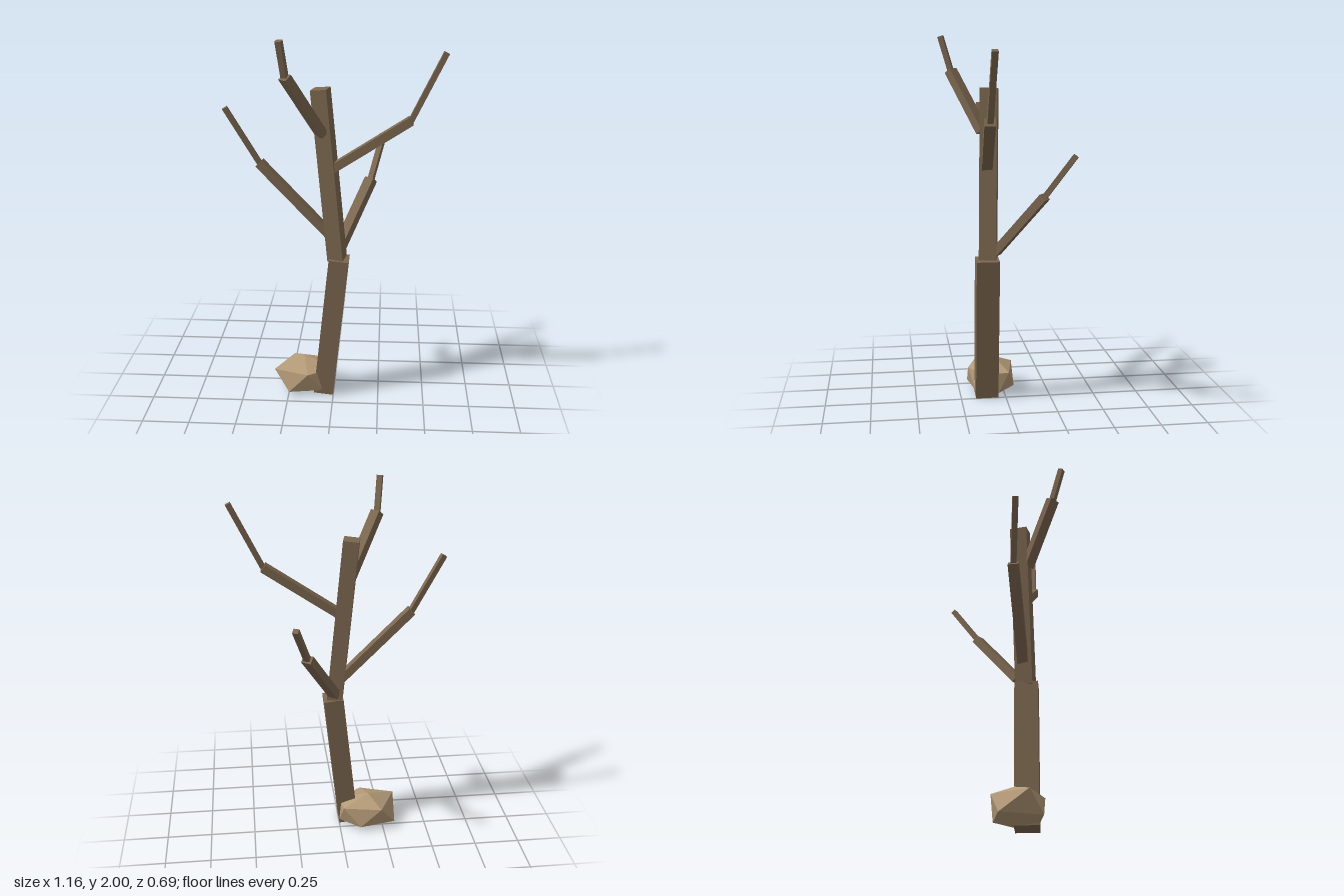
import * as THREE from 'three';
import { ConvexGeometry } from 'three/addons/geometries/ConvexGeometry.js';

const bark = new THREE.MeshStandardMaterial({ color: 0x7d6850, flatShading: true });
const stone = new THREE.MeshStandardMaterial({ color: 0xb59b78, flatShading: true });

// Square beam between two points; width runs along the side vector
function beam(name, from, to, width, depth, side) {
  const a = new THREE.Vector3(...from);
  const b = new THREE.Vector3(...to);
  const y = b.clone().sub(a).normalize();
  // By default the width lies level, across the direction of the beam
  const x = side ? new THREE.Vector3(...side) : new THREE.Vector3(y.z, 0, -y.x);
  x.addScaledVector(y, -x.dot(y)).normalize();
  const z = new THREE.Vector3().crossVectors(x, y);
  const mesh = new THREE.Mesh(new THREE.BoxGeometry(width, a.distanceTo(b), depth), bark);
  mesh.quaternion.setFromRotationMatrix(new THREE.Matrix4().makeBasis(x, y, z));
  mesh.position.copy(a).add(b).multiplyScalar(0.5);
  mesh.name = name;
  return mesh;
}

export function createModel() {
  const group = new THREE.Group();
  group.name = 'bareTree';

  // Trunk in two leaning sections
  group.add(beam('lowerTrunk', [-0.055, 0.007, 0.105], [0.03, 0.805, 0.105], 0.109, 0.126, [1, 0, 0]));
  group.add(beam('upperTrunk', [0.018, 0.8, 0.1], [-0.07, 1.72, 0.081], 0.085, 0.095, [0.98, 0, 0.19]));

  // Each branch: root, elbow, twig tip
  const branches = [
    ['left', [-0.02, 1.295, 0.1], [0.395, 1.57, 0.13], [0.563, 1.915, 0.125]],
    ['right', [0.0, 0.91, 0.09], [-0.395, 1.32, 0.066], [-0.565, 1.617, 0.09]],
    ['back', [0.025, 0.84, 0.06], [0.19, 1.165, -0.18], [0.255, 1.385, -0.33]],
    ['front', [-0.06, 1.49, 0.12], [-0.23, 1.812, 0.275], [-0.25, 1.996, 0.328]],
  ];
  for (const [name, root, elbow, tip] of branches) {
    group.add(beam(name + 'Branch', root, elbow, 0.057, 0.045));
    group.add(beam(name + 'Twig', elbow, tip, 0.031, 0.028));
  }

  // Faceted rock: two staggered rings of five (x, z), closed by an apex and a base point
  const upper = [[-0.33, 0.135], [-0.235, -0.06], [-0.02, -0.02], [0, 0.11], [-0.14, 0.2]];
  const lower = [[-0.32, -0.015], [-0.115, -0.06], [0, 0.04], [-0.055, 0.165], [-0.245, 0.197]];
  const points = [
    new THREE.Vector3(-0.17, 0.19, 0.05),
    new THREE.Vector3(-0.165, 0.008, 0.07),
    ...upper.map(([x, z]) => new THREE.Vector3(x, 0.137, z)),
    ...lower.map(([x, z]) => new THREE.Vector3(x, 0.028, z)),
  ];
  const rock = new THREE.Mesh(new ConvexGeometry(points), stone);
  rock.name = 'rock';
  group.add(rock);

  return group;
}
